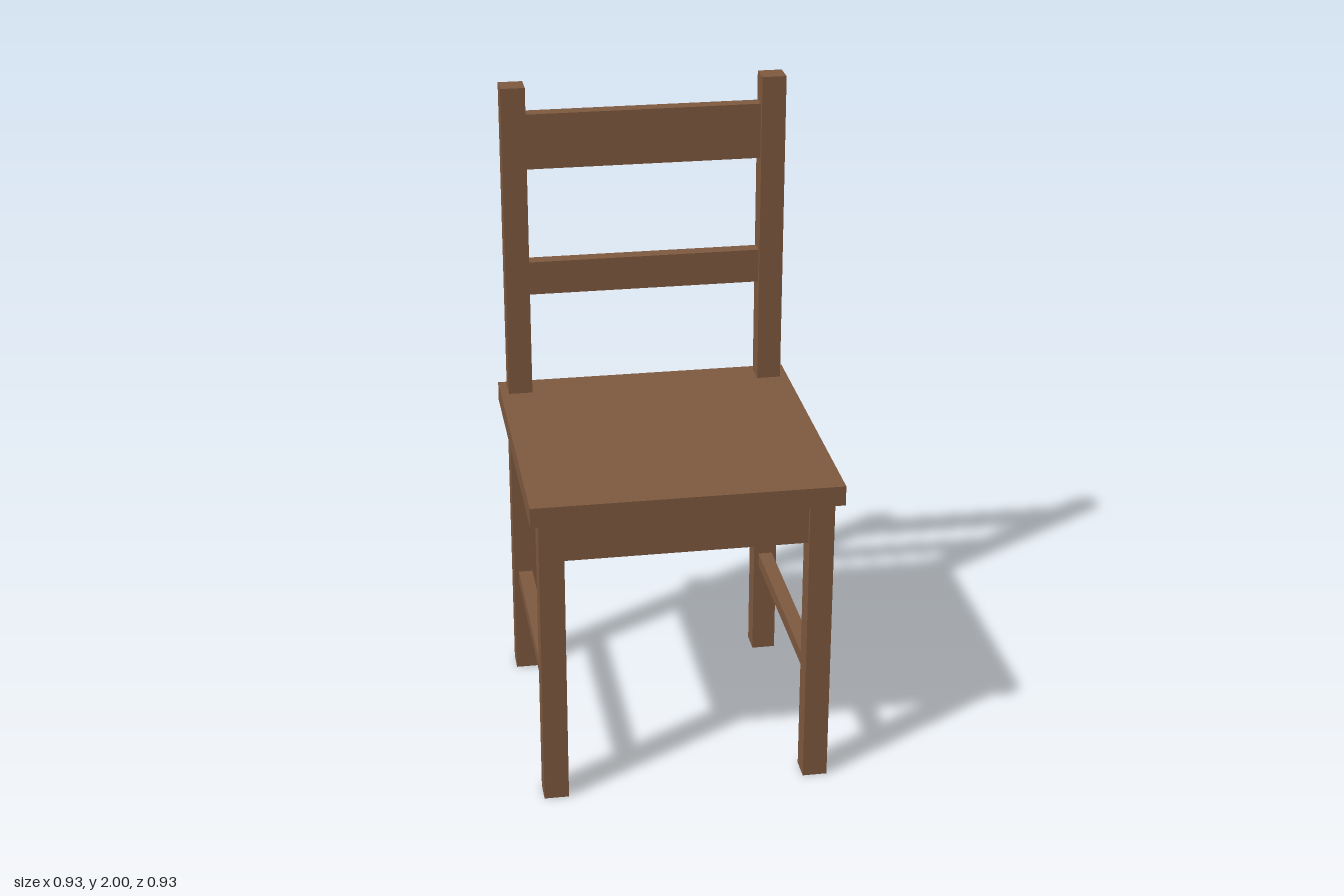
import * as THREE from 'three';

export function createModel() {
  const chair = new THREE.Group();
  chair.name = 'chair';
  const wood = new THREE.MeshStandardMaterial({ color: 0x805a40 });
  wood.name = 'brown wood';

  const post = 0.075;       // leg thickness
  const offset = 0.4025;    // leg centre from the middle
  const span = 2 * offset - post; // gap between legs
  const board = 0.045;      // rail thickness
  const seatBottom = 0.938;
  const seatTop = 1;

  // Box given by its centre in plan and its bottom and top heights
  function addBox(name, width, depth, bottom, top, x, z) {
    const mesh = new THREE.Mesh(new THREE.BoxGeometry(width, top - bottom, depth), wood);
    mesh.name = name;
    mesh.position.set(x, (bottom + top) / 2, z);
    chair.add(mesh);
  }

  addBox('seat', 0.93, 0.93, seatBottom, seatTop, 0, 0);

  for (const [side, s] of [['left', 1], ['right', -1]]) {
    const x = s * offset;
    // Legs, the rear pair continuing above the seat as back posts
    addBox(`${side}FrontLeg`, post, post, 0, seatBottom, x, offset);
    addBox(`${side}BackLeg`, post, post, 0, seatBottom, x, -offset);
    addBox(`${side}BackPost`, post, post, seatTop, 2, x, -offset);
    // Side apron and low stretcher
    addBox(`${side}Apron`, board, span, 0.803, seatBottom, x, 0);
    addBox(`${side}Stretcher`, board, span, 0.317, 0.36, x, 0);
  }

  // Front and back aprons
  addBox('frontApron', span, board, 0.803, seatBottom, 0, offset);
  addBox('backApron', span, board, 0.803, seatBottom, 0, -offset);

  // Backrest slats
  addBox('lowerSlat', span, board, 1.328, 1.435, 0, -offset);
  addBox('upperSlat', span, board, 1.738, 1.912, 0, -offset);

  return chair;
}
